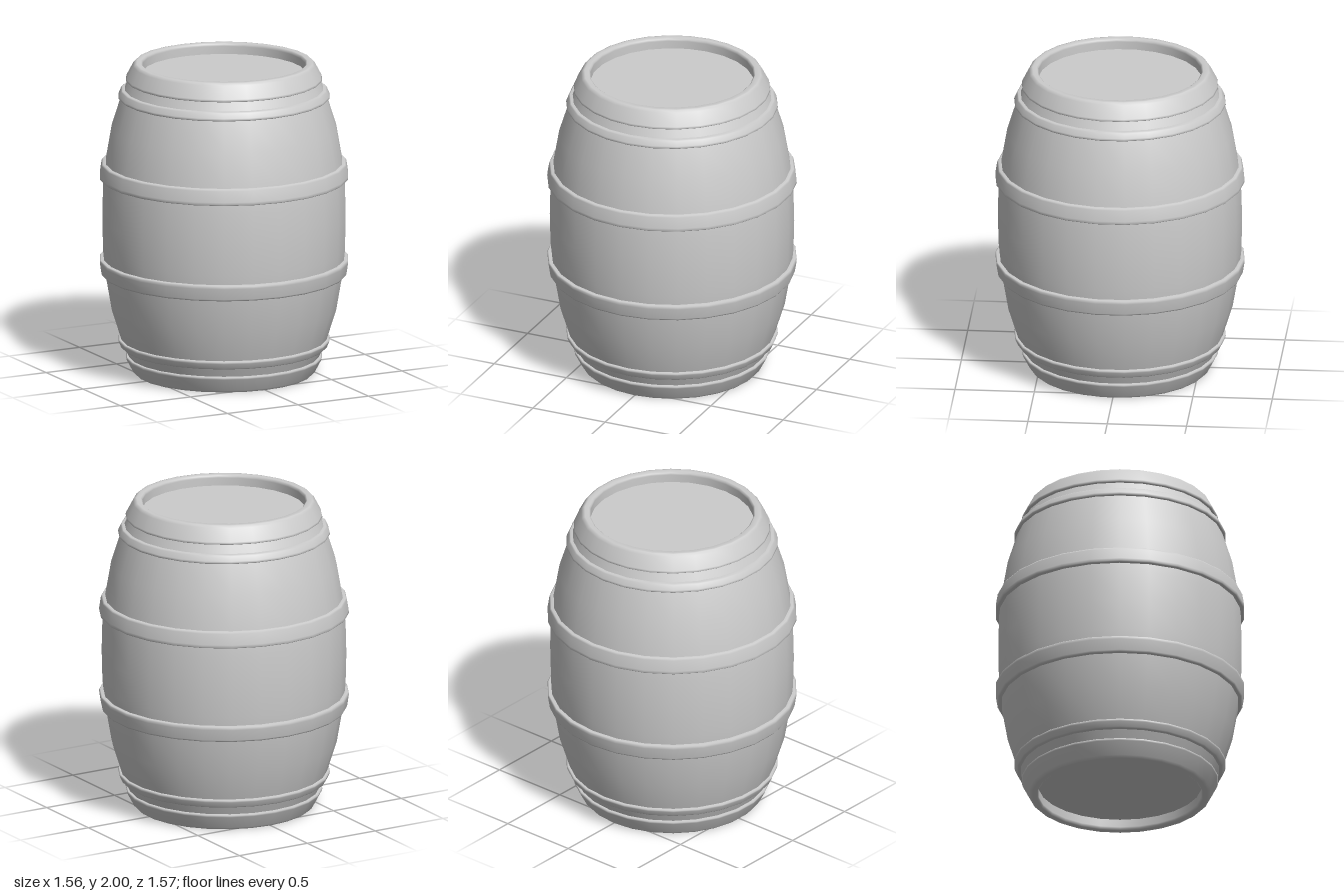
import * as THREE from 'three';

const SIDES = 26;
const material = new THREE.MeshStandardMaterial({ color: 0xcccccc });

// Turned part from [radius, y] pairs running upward on the outside
function turned(name, profile) {
  const points = profile.map(([r, y]) => new THREE.Vector2(r, y));
  const mesh = new THREE.Mesh(new THREE.LatheGeometry(points, SIDES), material);
  mesh.name = name;
  return mesh;
}

// Same profile reflected about mid height, order reversed to keep faces outward
const flipped = (profile) => profile.map(([r, y]) => [r, 2 - y]).reverse();

export function createModel() {
  const group = new THREE.Group();
  group.name = 'barrel';

  // Bulging staves: upper half plus its reflection
  const upperStaves = [[0.77, 1.0], [0.765, 1.2], [0.748, 1.36], [0.71, 1.58], [0.647, 1.78], [0.622, 1.84], [0.59, 1.91]];
  group.add(turned('staves', [...flipped(upperStaves), ...upperStaves.slice(1)]));

  const hoops = {
    // Wide hoop around the belly
    bellyHoop: [[0.75, 1.258], [0.779, 1.258], [0.786, 1.264], [0.785, 1.28], [0.774, 1.35], [0.766, 1.361], [0.74, 1.362]],
    // Narrow hoop near the end
    neckHoop: [[0.635, 1.776], [0.66, 1.776], [0.667, 1.782], [0.664, 1.793], [0.65, 1.824], [0.642, 1.831], [0.61, 1.832]],
    // End hoop that turns over into the recessed rim
    endHoop: [[0.58, 1.888], [0.612, 1.888], [0.619, 1.893], [0.616, 1.905], [0.574, 1.985], [0.56, 1.999],
      [0.55, 2.0], [0.525, 2.0], [0.516, 1.993], [0.515, 1.98], [0.515, 1.93]],
  };
  for (const [name, profile] of Object.entries(hoops)) {
    group.add(turned(name + 'Upper', profile));
    group.add(turned(name + 'Lower', flipped(profile)));
  }

  // Recessed heads closing both ends
  for (const side of [1, -1]) {
    const disc = new THREE.CircleGeometry(0.516, SIDES, Math.PI / 2);
    disc.rotateX(-side * Math.PI / 2);
    const head = new THREE.Mesh(disc, material);
    head.name = side > 0 ? 'topHead' : 'bottomHead';
    head.position.y = 1 + side * 0.93;
    group.add(head);
  }

  return group;
}
